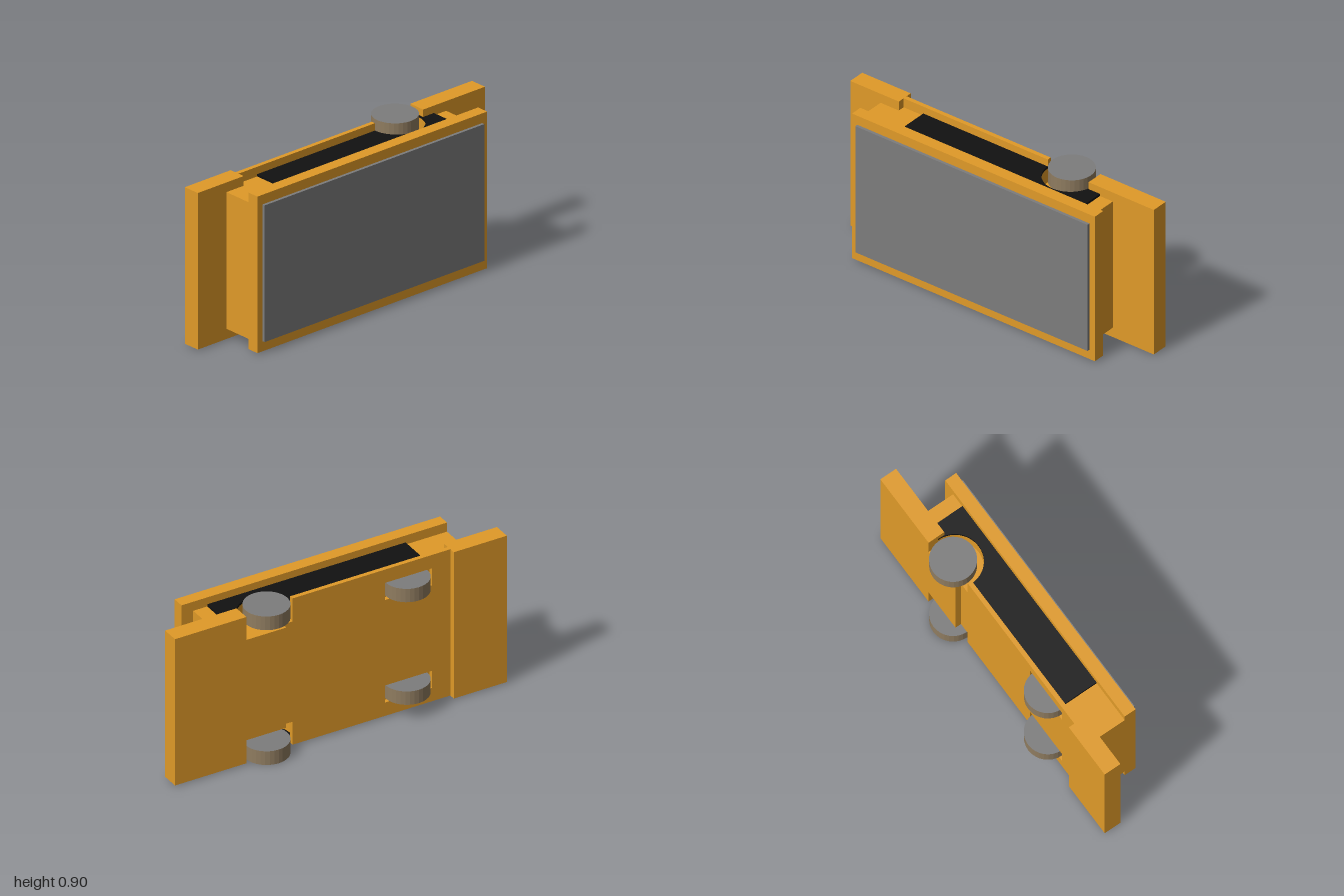
import * as THREE from 'three';

const mat = (color) => new THREE.MeshStandardMaterial({ color, flatShading: true });
const MID = 0.452; // mirror height of the body
const WX = 0.42, WZ = -0.091; // big wheel axis
const BOTTOM = 0.007, TOP = 0.897, FLOOR = 0.147; // body ends and wheel well depth

export function createModel() {
  const group = new THREE.Group();
  const orange = mat(0xe09a28), grey = mat(0x7d7d7d), black = mat(0x111111), tread = mat(0x8f7c60);

  const add = (name, geometry, material) => {
    const mesh = new THREE.Mesh(geometry, material);
    mesh.name = name;
    group.add(mesh);
    return mesh;
  };
  const box = (name, x0, x1, y0, y1, z0, z1, material) =>
    add(name, new THREE.BoxGeometry(x1 - x0, y1 - y0, z1 - z0), material)
      .position.set((x0 + x1) / 2, (y0 + y1) / 2, (z0 + z1) / 2);
  const polygon = (points) => new THREE.Shape(points.map(([x, y]) => new THREE.Vector2(x, y)));
  const board = (name, shape, z0, z1) => {
    const geometry = new THREE.ExtrudeGeometry(shape, { depth: z1 - z0, bevelEnabled: false });
    add(name, geometry.translate(0, 0, z0), orange);
  };

  // Horizontal slice of the body, optionally cut by the round wheel well
  const slice = (name, x0, x1, y0, y1, well, material) => {
    const s = new THREE.Shape();
    s.moveTo(x0, -0.13);
    s.lineTo(x1, -0.13);
    s.lineTo(x1, 0.08);
    if (well) {
      s.lineTo(WX + 0.15, 0.08);
      s.lineTo(WX + 0.15, -WZ - 0.001);
      s.absarc(WX, -WZ - 0.012, 0.15, 0, -Math.PI, true);
      s.lineTo(WX - 0.15, 0.08);
    }
    s.lineTo(x0, 0.08);
    const geometry = new THREE.ExtrudeGeometry(s, { depth: y1 - y0, bevelEnabled: false, curveSegments: 24 });
    add(name, geometry.rotateX(-Math.PI / 2).translate(0, y0, 0), material);
  };

  // Front plate and raised panel
  box('frontPlate', -0.8, 0.8, BOTTOM, TOP, 0.13, 0.2, orange);
  box('frontPanel', -0.765, 0.765, 0.065, 0.842, 0.2, 0.217, grey);

  // Core with a well and a black inset at each end
  slice('core', -0.8, 0.73, FLOOR, 2 * MID - FLOOR, false, orange);
  slice('coreLowerEnd', -0.8, 0.73, 0.065, FLOOR, true, orange);
  slice('coreUpperEnd', -0.8, 0.73, 2 * MID - FLOOR, 0.842, true, orange);
  slice('lowerInset', -0.55, 0.645, 0.05, 0.065, true, black);
  slice('upperInset', -0.55, 0.645, 0.842, 0.855, true, black);

  // Thin back plate with corner notches and slots for the small wheels
  const yLow = FLOOR, yHigh = 2 * MID - FLOOR;
  const plate = polygon([
    [-0.68, BOTTOM], [0.27, BOTTOM], [0.27, yLow], [0.33, yLow],
    [0.33, yHigh], [0.27, yHigh], [0.27, TOP], [-0.68, TOP],
  ]);
  for (const y of [0.14, 0.764]) {
    plate.holes.push(polygon([
      [-0.57, y - 0.052], [-0.57, y + 0.052], [-0.285, y + 0.052], [-0.285, y - 0.052],
    ]));
  }
  board('backPlate', plate, -0.105, -0.08);

  // Thick side slabs
  board('leftSlab', polygon([
    [0.57, BOTTOM], [1, BOTTOM], [1, TOP], [0.57, TOP],
    [0.57, yHigh], [0.33, yHigh], [0.33, yLow], [0.57, yLow],
  ]), -0.14, -0.04);
  box('rightSlab', -1, -0.68, BOTTOM, TOP, -0.14, -0.04, orange);

  // Wheels: exposed pair at the ends, recessed pair in the slots
  const wheel = (name, x, y0, y1) =>
    add(name, new THREE.CylinderGeometry(0.125, 0.125, y1 - y0, 32), [tread, grey, grey])
      .position.set(x, (y0 + y1) / 2, WZ);
  wheel('lowerEndWheel', WX, 0, 0.083);
  wheel('upperEndWheel', WX, 0.82, 0.903);
  wheel('lowerSlotWheel', -0.425, 0.1, 0.181);
  wheel('upperSlotWheel', -0.425, 0.724, 0.805);

  return group;
}
